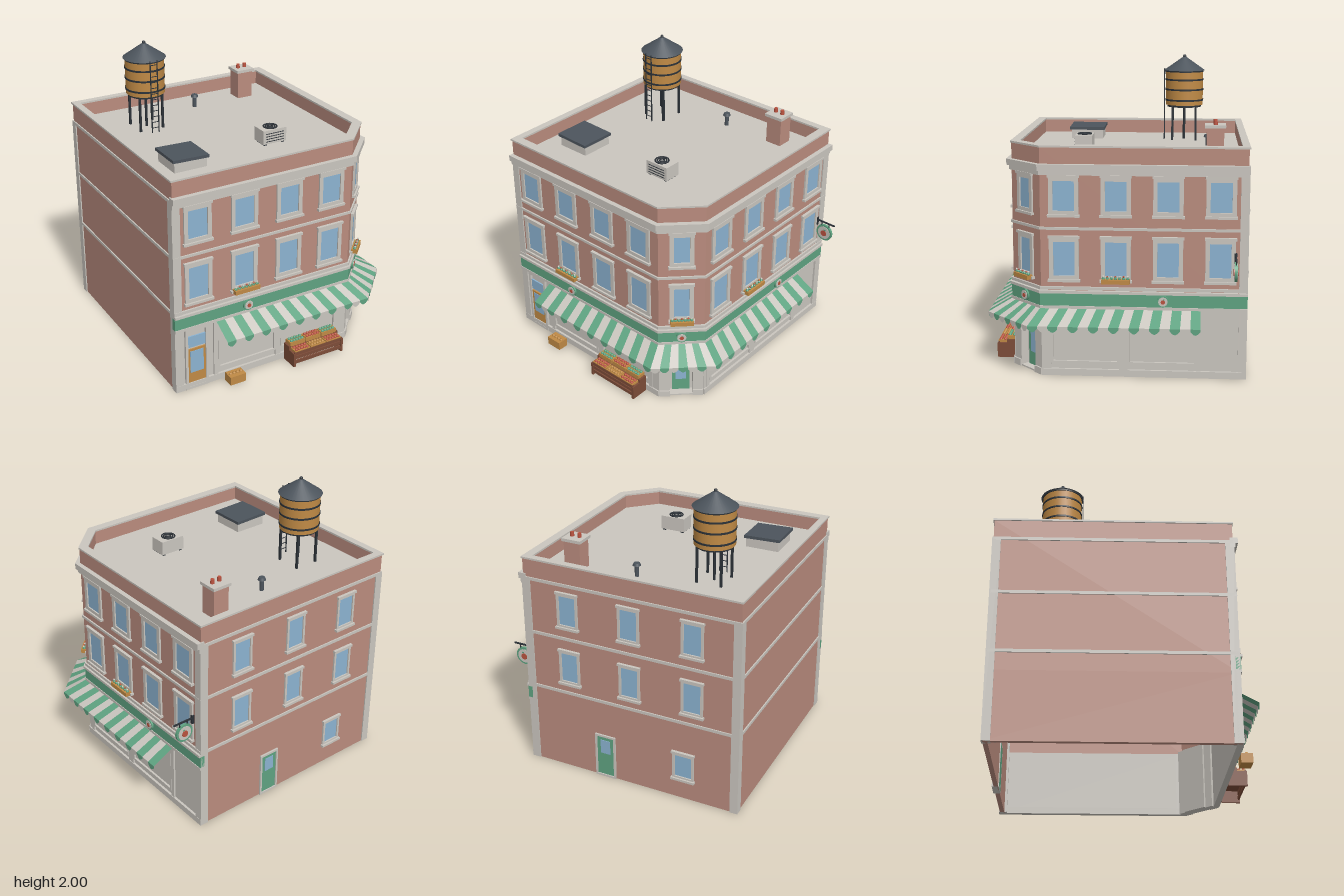
import * as THREE from 'three';

const mat = (name, color, side = THREE.FrontSide) => {
  const m = new THREE.MeshStandardMaterial({ color, side });
  m.name = name;
  return m;
};
const M = {
  brick: mat('brick', 0xba8c7e), stone: mat('stone', 0xcac6bf, THREE.DoubleSide),
  slate: mat('slate', 0x4c545c), iron: mat('iron', 0x2c3238),
  wood: mat('amber wood', 0xc08a45), green: mat('green paint', 0x5fa381, THREE.DoubleSide),
  glass: mat('glass', 0x8cb3d1), red: mat('red', 0xb9523f), brown: mat('brown wood', 0x7d4c38),
};

const LO = -0.845, F = 0.68, C = 0.47, ROOF = 1.395;

function add(parent, name, geo, m, x = 0, y = 0, z = 0) {
  const mesh = new THREE.Mesh(geo, m);
  mesh.name = name;
  mesh.position.set(x, y, z);
  parent.add(mesh);
  return mesh;
}
// Box given by its min and max corners
const box = (p, name, m, x0, x1, y0, y1, z0, z1) =>
  add(p, name, new THREE.BoxGeometry(x1 - x0, y1 - y0, z1 - z0), m, (x0 + x1) / 2, (y0 + y1) / 2, (z0 + z1) / 2);
const cyl = (p, name, m, r0, r1, y0, y1, x, z, n = 20) =>
  add(p, name, new THREE.CylinderGeometry(r1, r0, y1 - y0, n), m, x, (y0 + y1) / 2, z);

// Chamfered plan: o pushes the street sides out, b is the back and left line
const plan = (o, b) => [
  [b, F + o], [C + o * 0.414, F + o], [F + o, C + o * 0.414], [F + o, b], [b, b],
].map(([x, z]) => new THREE.Vector2(x, -z));
function slab(p, name, m, y0, y1, o, b, inner) {
  const s = new THREE.Shape(plan(o, b));
  if (inner) s.holes.push(new THREE.Path(plan(inner[0], inner[1])));
  const g = new THREE.ExtrudeGeometry(s, { depth: y1 - y0, bevelEnabled: false });
  g.rotateX(-Math.PI / 2);
  return add(p, name, g, m, 0, y0, 0);
}
// Rectangular frame with an opening, extruded outward along z
function frame(p, name, m, x, y0, y1, w, rim, z0, z1) {
  const rect = (S, a, b, c, d) => new S([[a, b], [c, b], [c, d], [a, d]].map(q => new THREE.Vector2(...q)));
  const s = rect(THREE.Shape, -w / 2, y0, w / 2, y1);
  s.holes.push(rect(THREE.Path, -w / 2 + rim, y0 + rim, w / 2 - rim, y1 - rim));
  return add(p, name, new THREE.ExtrudeGeometry(s, { depth: z1 - z0, bevelEnabled: false }), m, x, 0, z0);
}
function sashWindow(p, x, y0, y1, w, rim = 0.027) {
  const g = new THREE.Group();
  g.name = 'window';
  g.position.x = x;
  p.add(g);
  frame(g, 'windowFrame', M.stone, 0, y0, y1, w, rim, -0.038, 0.012);
  box(g, 'windowGlass', M.glass, -w / 2 + rim, w / 2 - rim, y0 + rim, y1 - rim, -0.036, 0.003);
  box(g, 'windowSill', M.stone, -w / 2 - 0.008, w / 2 + 0.008, y0 - 0.012, y0 + 0.004, 0, 0.024);
  box(g, 'windowLintel', M.stone, -w / 2 - 0.006, w / 2 + 0.006, y1 - 0.004, y1 + 0.012, 0, 0.02);
}
function planter(p, x, w) {
  box(p, 'planterBox', M.wood, x - w / 2, x + w / 2, 0.627, 0.655, 0.012, 0.055);
  for (let i = 0; i < 7; i++) {
    const px = x + (i / 6 - 0.5) * (w - 0.025);
    add(p, 'plant', new THREE.IcosahedronGeometry(0.012, 0), M.green, px, 0.66, 0.034);
    add(p, 'flower', new THREE.IcosahedronGeometry(0.007, 0), i % 2 ? M.red : M.stone, px, 0.673, 0.036);
  }
}
// Round sign: green rim, pale face, red fruit with a leaf
function roundel(p, x, y, z, r, depth) {
  const g = new THREE.Group();
  g.name = 'roundSign';
  g.position.set(x, y, z);
  p.add(g);
  const disc = (n, m, rr, d) => add(g, n, new THREE.CylinderGeometry(rr, rr, d, 28).rotateX(Math.PI / 2), m);
  disc('signRim', M.green, r, depth);
  disc('signFace', M.stone, r * 0.78, depth + 0.006);
  disc('signFruit', M.red, r * 0.36, depth + 0.012).position.y = -r * 0.06;
  box(g, 'signLeaf', M.green, 0, r * 0.25, r * 0.32, r * 0.46, -depth / 2 - 0.005, depth / 2 + 0.005);
}
function facade(root, name, x, z, turn) {
  const g = new THREE.Group();
  g.name = name;
  g.position.set(x, 0, z);
  g.rotation.y = turn;
  root.add(g);
  return g;
}

function awning(root) {
  const tris = [[], []];
  const sides = [ // inner start, inner end, outer start, outer end, stripes, first colour
    [[-0.55, F], [C, F], [-0.55, 0.84], [0.54, 0.84], 17, 0],
    [[C, F], [F, C], [0.54, 0.84], [0.84, 0.54], 7, 1],
    [[F, C], [F, -0.55], [0.84, 0.54], [0.84, -0.55], 17, 0],
  ];
  const at = (a, b, t, y) => [a[0] + (b[0] - a[0]) * t, y, a[1] + (b[1] - a[1]) * t];
  for (const [i0, i1, o0, o1, n, first] of sides) for (let k = 0; k < n; k++) {
    const out = tris[(k + first) % 2], t0 = k / n, t1 = (k + 1) / n;
    const quad = (a, b, c, d) => out.push(...a, ...b, ...c, ...a, ...c, ...d);
    quad(at(i0, i1, t0, 0.46), at(o0, o1, t0, 0.375), at(o0, o1, t1, 0.375), at(i0, i1, t1, 0.46));
    for (let j = 0; j < 8; j++) { // scalloped edge
      const a = t0 + j / 8 / n, b = t0 + (j + 1) / 8 / n;
      const drop = q => 0.36 - 0.024 * Math.sin(Math.PI * q / 8);
      quad(at(o0, o1, a, 0.375), at(o0, o1, a, drop(j)), at(o0, o1, b, drop(j + 1)), at(o0, o1, b, 0.375));
    }
  }
  tris.forEach((t, i) => {
    const g = new THREE.BufferGeometry();
    g.setAttribute('position', new THREE.Float32BufferAttribute(t, 3));
    g.computeVertexNormals();
    add(root, i ? 'awningPaleStripes' : 'awningGreenStripes', g, i ? M.stone : M.green);
  });
}

export function createModel() {
  const root = new THREE.Group();
  root.name = 'cornerShop';

  // Walls, bands, cornice, parapet and roof
  slab(root, 'upperWalls', M.brick, 0.45, 1.49, 0, -0.837, [-0.03, -0.807]);
  slab(root, 'roofDeck', M.stone, ROOF - 0.02, ROOF, -0.01, -0.83);
  slab(root, 'parapetLining', M.brick, ROOF, 1.49, -0.02, -0.82, [-0.05, -0.8]);
  slab(root, 'coping', M.stone, 1.488, 1.5, 0.006, LO, [-0.055, -0.797]);
  for (const [n, m, y0, y1, o] of [
    ['signBand', M.green, 0.468, 0.552, 0.012], ['signBandBase', M.stone, 0.45, 0.47, 0.016],
    ['shopCornice', M.stone, 0.552, 0.57, 0.022], ['shopCorniceTop', M.stone, 0.575, 0.595, 0.012],
    ['beltCourse', M.stone, 0.965, 0.982, 0.01], ['corniceLow', M.stone, 1.315, 1.345, 0.016],
    ['corniceHigh', M.stone, 1.345, 1.385, 0.032]]) {
    const s = new THREE.Shape([...plan(o, LO).slice(0, 4), ...plan(-0.02, LO).slice(0, 4).reverse()]);
    const g = new THREE.ExtrudeGeometry(s, { depth: y1 - y0, bevelEnabled: false }).rotateX(-Math.PI / 2);
    add(root, n, g, m, 0, y0, 0);
  }
  for (const y of [0.565, 0.965, 1.345]) {
    box(root, 'backBand', M.stone, LO, F, y, y + 0.02, LO, -0.83);
    box(root, 'sideBand', M.stone, LO, -0.83, y, y + 0.02, LO, F);
  }
  box(root, 'backGroundWall', M.brick, -0.837, F, 0, 0.45, -0.837, -0.807);
  box(root, 'sideGroundWall', M.brick, -0.837, -0.807, 0, 0.45, -0.837, F);
  box(root, 'cornerPier', M.stone, LO, -0.79, 0, 1.345, LO, -0.79);
  box(root, 'cornerPier', M.stone, LO, -0.79, 0, 1.345, 0.63, F + 0.008);
  box(root, 'cornerPier', M.stone, 0.63, F + 0.008, 0, 1.345, LO, -0.79);

  // Street facades; local z points outward
  const front = facade(root, 'frontFacade', 0, F, 0);
  const right = facade(root, 'sideFacade', F, 0, Math.PI / 2);
  const corner = facade(root, 'cornerFacade', (F + C) / 2, (F + C) / 2, Math.PI / 4);
  const back = facade(root, 'backFacade', 0, -0.837, Math.PI);
  for (const [g, s, cols, shops] of [
    [front, 1, [-0.67, -0.34, -0.01, 0.31], [-0.315, 0.165]],
    [right, -1, [-0.32, 0.01, 0.34, 0.67], [-0.19, 0.305]]]) {
    const a = s > 0 ? LO : -C, b = s > 0 ? C : -LO;
    box(g, 'shopWall', M.stone, a, b, 0, 0.46, -0.03, -0.006);
    box(g, 'shopPlinth', M.stone, a, b, 0, 0.045, -0.03, 0.01);
    for (const x of cols) for (const y of [0.64, 1.06]) sashWindow(g, x, y, y + (y < 1 ? 0.275 : 0.245), 0.19);
    for (const x of shops) {
      frame(g, 'shopWindowFrame', M.stone, x, 0.085, 0.44, 0.44, 0.014, -0.01, 0.008);
      for (const d of [-0.235, 0.235]) box(g, 'shopPilaster', M.stone, x + d - 0.015, x + d + 0.015, 0, 0.46, -0.01, 0.006);
    }
    const cx = s > 0 ? C - 0.03 : -C + 0.03;
    box(g, 'shopCornerPier', M.stone, cx - 0.03, cx + 0.03, 0, 0.46, -0.03, 0.002);
    roundel(g, s > 0 ? -0.315 : 0.31, 0.51, 0.016, 0.038, 0.016);
    planter(g, s > 0 ? -0.34 : 0.01, 0.18);
  }

  // Private entrance at the front
  frame(front, 'entranceFrame', M.stone, -0.69, -0.02, 0.43, 0.165, 0.018, -0.01, 0.012).position.y = 0.02;
  box(front, 'entranceDoor', M.wood, -0.757, -0.623, 0.01, 0.295, -0.008, 0.004);
  box(front, 'entranceGlass', M.glass, -0.738, -0.642, 0.12, 0.28, 0, 0.007);
  box(front, 'entranceTransom', M.glass, -0.755, -0.625, 0.31, 0.39, -0.008, 0.004);

  // Chamfered corner with recessed shop door
  for (const s of [-1, 1]) {
    const p = box(corner, 'cornerPost', M.stone, -0.035, 0.035, 0, 0.46, -0.06, 0);
    p.position.x = s * 0.112;
    const q = box(corner, 'cornerPostBase', M.stone, -0.035, 0.035, 0, 0.045, -0.05, 0.01);
    q.position.x = s * 0.112;
  }
  box(corner, 'shopDoorWall', M.stone, -0.09, 0.09, 0, 0.46, -0.075, -0.058);
  box(corner, 'shopDoor', M.green, -0.06, 0.06, 0.01, 0.34, -0.06, -0.05);
  box(corner, 'shopDoorGlass', M.glass, -0.036, 0.036, 0.1, 0.31, -0.052, -0.047);
  box(corner, 'shopDoorTransom', M.glass, -0.06, 0.06, 0.355, 0.42, -0.06, -0.052);
  box(corner, 'shopDoorStep', M.stone, -0.08, 0.08, 0, 0.01, -0.06, 0);
  sashWindow(corner, 0, 0.64, 0.915, 0.155);
  sashWindow(corner, 0, 1.06, 1.305, 0.155);
  planter(corner, 0, 0.15);
  roundel(corner, 0, 0.51, 0.016, 0.038, 0.016);

  // Back wall openings
  for (const x of [-0.36, 0.08, 0.52]) for (const y of [0.65, 1.06]) sashWindow(back, x, y, y + 0.235, 0.15, 0.016);
  sashWindow(back, 0.46, 0.15, 0.34, 0.15, 0.016);
  frame(back, 'backDoorFrame', M.stone, -0.11, 0, 0.32, 0.15, 0.014, -0.035, 0.012);
  box(back, 'backDoor', M.green, -0.172, -0.048, 0.005, 0.306, -0.035, 0.005);
  box(back, 'backDoorGlass', M.glass, -0.145, -0.075, 0.18, 0.28, 0, 0.009);

  awning(root);

  // Hanging sign on its bracket
  box(root, 'signBracket', M.iron, F, 0.835, 0.806, 0.815, -0.77, -0.76);
  box(root, 'signBracketPlate', M.iron, F, F + 0.018, 0.77, 0.83, -0.773, -0.757);
  for (const x of [0.73, 0.79]) box(root, 'signHanger', M.iron, x - 0.003, x + 0.003, 0.77, 0.81, -0.768, -0.762);
  roundel(root, 0.757, 0.73, -0.765, 0.062, 0.016);

  // Water tank
  const tank = facade(root, 'waterTank', -0.47, -0.42, 0);
  cyl(tank, 'tankBarrel', M.wood, 0.132, 0.132, 1.645, 1.89, 0, 0, 32);
  cyl(tank, 'tankFloor', M.iron, 0.12, 0.12, 1.63, 1.646, 0, 0, 32);
  for (const y of [1.68, 1.755, 1.825, 1.885]) cyl(tank, 'tankHoop', M.iron, 0.136, 0.136, y - 0.006, y + 0.006, 0, 0, 32);
  cyl(tank, 'tankRoof', M.slate, 0.145, 0.005, 1.89, 1.988, 0, 0, 32);
  add(tank, 'tankFinial', new THREE.SphereGeometry(0.012, 12, 8), M.iron, 0, 1.988, 0);
  for (const x of [-0.083, 0.083]) for (const z of [-0.083, 0.083])
    box(tank, 'tankLeg', M.iron, x - 0.007, x + 0.007, ROOF, 1.64, z - 0.007, z + 0.007);
  cyl(tank, 'tankPipe', M.iron, 0.009, 0.009, ROOF, 1.64, 0, 0, 10);
  for (const x of [-0.025, 0.025]) box(tank, 'ladderRail', M.iron, x - 0.003, x + 0.003, ROOF, 1.9, 0.139, 0.145);
  for (let y = 1.43; y < 1.9; y += 0.04) box(tank, 'ladderRung', M.iron, -0.025, 0.025, y - 0.002, y + 0.002, 0.14, 0.144);

  // Chimney, vent, hatch and cooling unit
  box(root, 'chimney', M.brick, 0.345, 0.46, ROOF, 1.59, -0.685, -0.575);
  box(root, 'chimneyCap', M.stone, 0.333, 0.47, 1.588, 1.608, -0.696, -0.563);
  for (const x of [0.375, 0.428]) cyl(root, 'chimneyPot', M.red, 0.014, 0.012, 1.608, 1.637, x, -0.63);
  cyl(root, 'ventPipe', M.slate, 0.014, 0.014, ROOF, 1.47, -0.01, -0.585);
  cyl(root, 'ventCap', M.slate, 0.027, 0.02, 1.47, 1.488, -0.01, -0.585);
  box(root, 'hatchBase', M.stone, -0.67, -0.44, ROOF, 1.465, 0.165, 0.39);
  box(root, 'hatchLid', M.slate, -0.683, -0.43, 1.462, 1.482, 0.153, 0.403).rotation.z = -0.03;
  box(root, 'coolingUnit', M.stone, 0.03, 0.205, ROOF + 0.01, 1.5, 0.183, 0.298);
  for (const x of [0.05, 0.185]) box(root, 'coolingUnitFoot', M.iron, x - 0.01, x + 0.01, ROOF, ROOF + 0.01, 0.19, 0.29);
  for (const r of [0.045, 0.031, 0.016])
    add(root, 'fanGuard', new THREE.TorusGeometry(r, 0.005, 6, 24).rotateX(Math.PI / 2), M.iron, 0.115, 1.503, 0.24);
  for (let i = 0; i < 4; i++) box(root, 'coolingGrille', M.iron, 0.05, 0.185, 1.42 + i * 0.018, 1.424 + i * 0.018, 0.296, 0.301);

  // Produce stand and loose crate
  const stand = facade(root, 'produceStand', 0.165, F, 0);
  for (const x of [-0.19, 0.19]) {
    box(stand, 'standSide', M.brown, x - 0.008, x + 0.008, 0, 0.1, 0.015, 0.14);
    box(stand, 'standSideHigh', M.brown, x - 0.008, x + 0.008, 0.1, 0.125, 0.015, 0.075);
  }
  for (const y of [0.02, 0.055, 0.085]) box(stand, 'standSlat', M.brown, -0.19, 0.19, y, y + 0.024, 0.125, 0.136);
  box(stand, 'standShelf', M.brown, -0.185, 0.185, 0.08, 0.09, 0.015, 0.13);
  const crate = (p, x, y, z, w, m) => {
    box(p, 'crate', M.wood, x - w / 2, x + w / 2, y, y + 0.03, z - 0.03, z + 0.03);
    const n = Math.round(w / 0.022);
    for (let i = 0; i < n; i++) for (const d of [-0.015, 0.015])
      add(p, 'produce', new THREE.IcosahedronGeometry(0.011, 1), m, x + ((i + 0.5) / n - 0.5) * (w - 0.012), y + 0.032, z + d);
  };
  [-0.125, 0, 0.125].forEach((x, i) => {
    crate(stand, x, 0.085, 0.105, 0.118, [M.red, M.wood, M.red][i]);
    crate(stand, x, 0.118, 0.042, 0.118, [M.green, M.red, M.green][i]);
  });
  box(root, 'looseCrate', M.wood, -0.5, -0.385, 0, 0.06, 0.715, 0.79);
  for (let i = 0; i < 4; i++) add(root, 'looseProduce', new THREE.IcosahedronGeometry(0.013, 1), M.wood, -0.48 + i * 0.026, 0.06, 0.752);
  return root;
}
